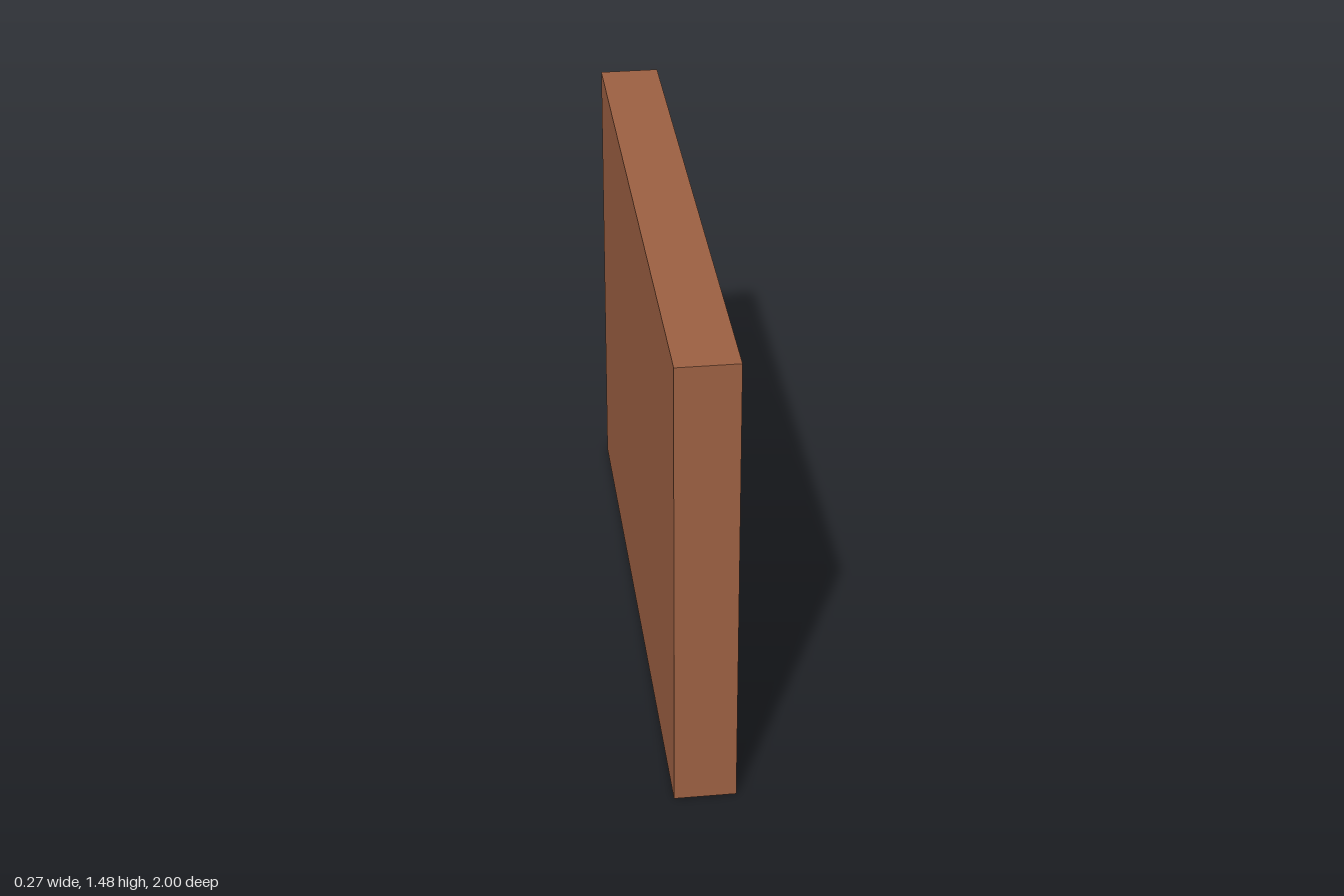
import * as THREE from 'three';

const material = (name, color) => {
  const m = new THREE.MeshStandardMaterial({ color });
  m.name = name;
  return m;
};

export function createModel() {
  const model = new THREE.Group();
  model.name = 'wallWithWindow';

  const brick = material('brick brown', 0x9c6042);
  const pane = material('dark red', 0x803a2d);
  const trim = material('cream', 0xc9bea4);
  const crimson = material('crimson', 0x962a45);
  const green = material('green', 0x34624b);

  const add = (name, geometry, mat, x, y, z) => {
    const mesh = new THREE.Mesh(geometry, mat);
    mesh.name = name;
    mesh.position.set(x, y, z);
    model.add(mesh);
    return mesh;
  };

  // Wall slab and raised panel on its +x face
  add('wall', new THREE.BoxGeometry(0.187, 1.476, 2), brick, -0.041, 0.738, 0);
  add('windowPanel', new THREE.BoxGeometry(0.04, 0.552, 0.794), pane, 0.0645, 0.83, 0);

  // Rectangular frame around the panel, extruded outward along +x
  const rect = (target, w, h) => {
    target.moveTo(-w / 2, -h / 2);
    target.lineTo(w / 2, -h / 2);
    target.lineTo(w / 2, h / 2);
    target.lineTo(-w / 2, h / 2);
    target.closePath();
    return target;
  };
  const outline = rect(new THREE.Shape(), 0.806, 0.592);
  outline.holes.push(rect(new THREE.Path(), 0.712, 0.498));
  const frame = new THREE.ExtrudeGeometry(outline, { depth: 0.048, bevelEnabled: false });
  frame.rotateY(Math.PI / 2);
  add('windowFrame', frame, trim, 0.0845, 0.83, 0);

  // Faceted knobs half sunk in the wall, one corner straight up
  const knob = new THREE.IcosahedronGeometry(0.0695, 0);
  knob.rotateZ(-Math.atan(2 / (1 + Math.sqrt(5))));
  add('crimsonKnob', knob, crimson, 0.057, 0.269, 0.527);
  add('greenKnob', knob, green, 0.057, 0.269, -0.527);

  return model;
}
